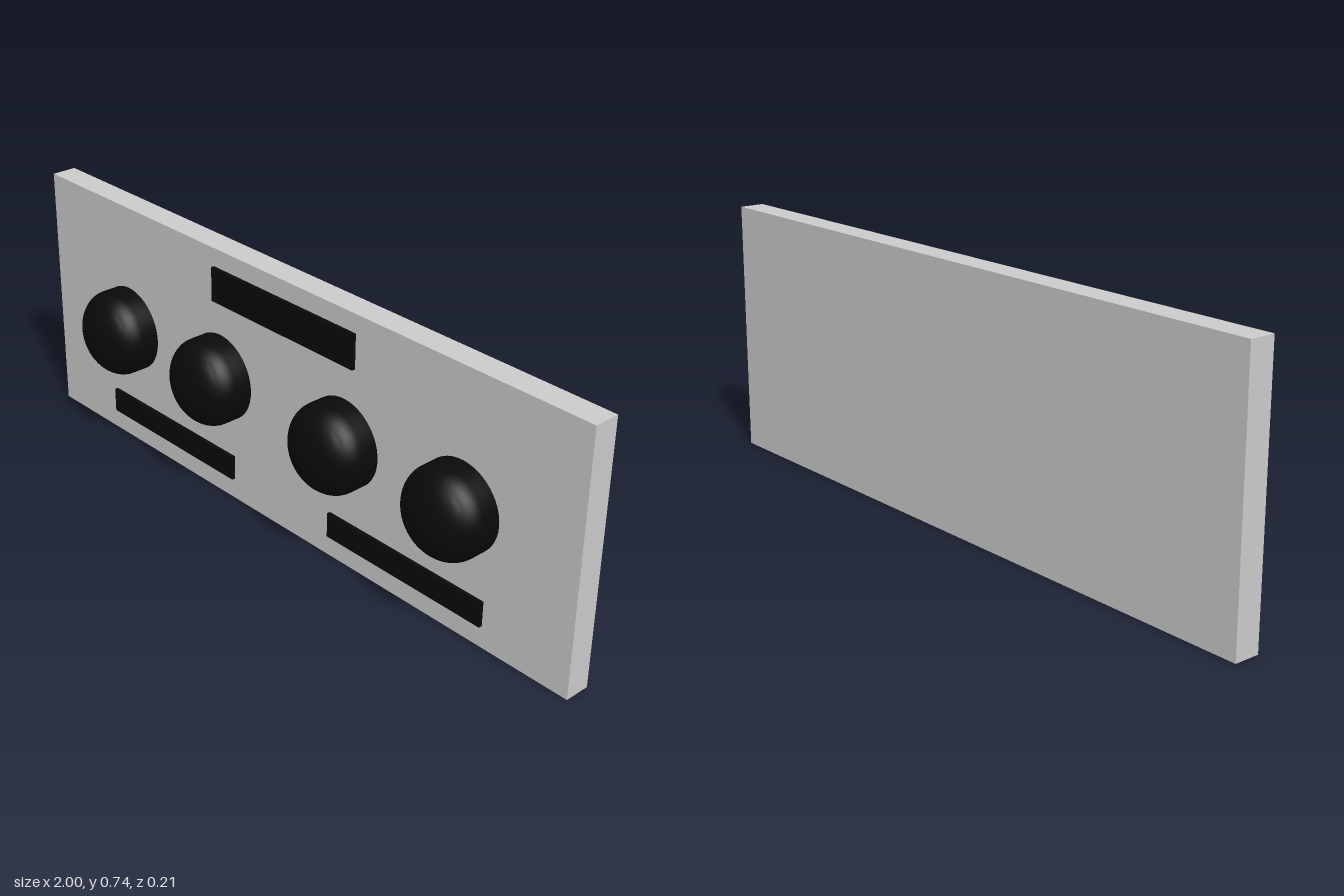
import * as THREE from 'three';
import { toCreasedNormals } from 'three/addons/utils/BufferGeometryUtils.js';

export function createModel() {
  const group = new THREE.Group();
  const grey = new THREE.MeshStandardMaterial({ color: 0xcccccc });
  const black = new THREE.MeshStandardMaterial({ color: 0x0a0a0a });

  // Box given by its limits on each axis
  const addBox = (name, [x0, x1], [y0, y1], [z0, z1], material) => {
    const mesh = new THREE.Mesh(new THREE.BoxGeometry(x1 - x0, y1 - y0, z1 - z0), material);
    mesh.position.set((x0 + x1) / 2, (y0 + y1) / 2, (z0 + z1) / 2);
    mesh.name = name;
    group.add(mesh);
  };

  // Backing board
  addBox('board', [-1, 1], [0, 0.735], [-0.105, -0.032], grey);

  // Thin label plates on the front face
  const plateZ = [-0.032, -0.022];
  addBox('topPlate', [-0.271, 0.268], [0.585, 0.683], plateZ, black);
  addBox('lowerRightPlate', [-0.734, -0.195], [0.063, 0.135], plateZ, black);
  addBox('lowerLeftPlate', [0.189, 0.728], [0.063, 0.135], plateZ, black);

  // Domed buttons: short straight rim, then a flattened cap
  const radius = 0.124, back = -0.028, rim = 0.02, tip = 0.107;
  const profile = [new THREE.Vector2(0, back), new THREE.Vector2(radius, back)];
  const steps = 16;
  for (let i = 0; i <= steps; i++) {
    const a = (i / steps) * Math.PI / 2;
    profile.push(new THREE.Vector2(
      i === steps ? 0 : radius * Math.cos(a),
      rim + (tip - rim) * Math.sin(a)
    ));
  }
  const domeGeometry = toCreasedNormals(
    new THREE.LatheGeometry(profile, 48).rotateX(Math.PI / 2), Math.PI / 4);
  [-0.647, -0.244, 0.236, 0.637].forEach((x, i) => {
    const dome = new THREE.Mesh(domeGeometry, black);
    dome.position.set(x, 0.368, 0);
    dome.name = `domeButton${i + 1}`;
    group.add(dome);
  });

  return group;
}
